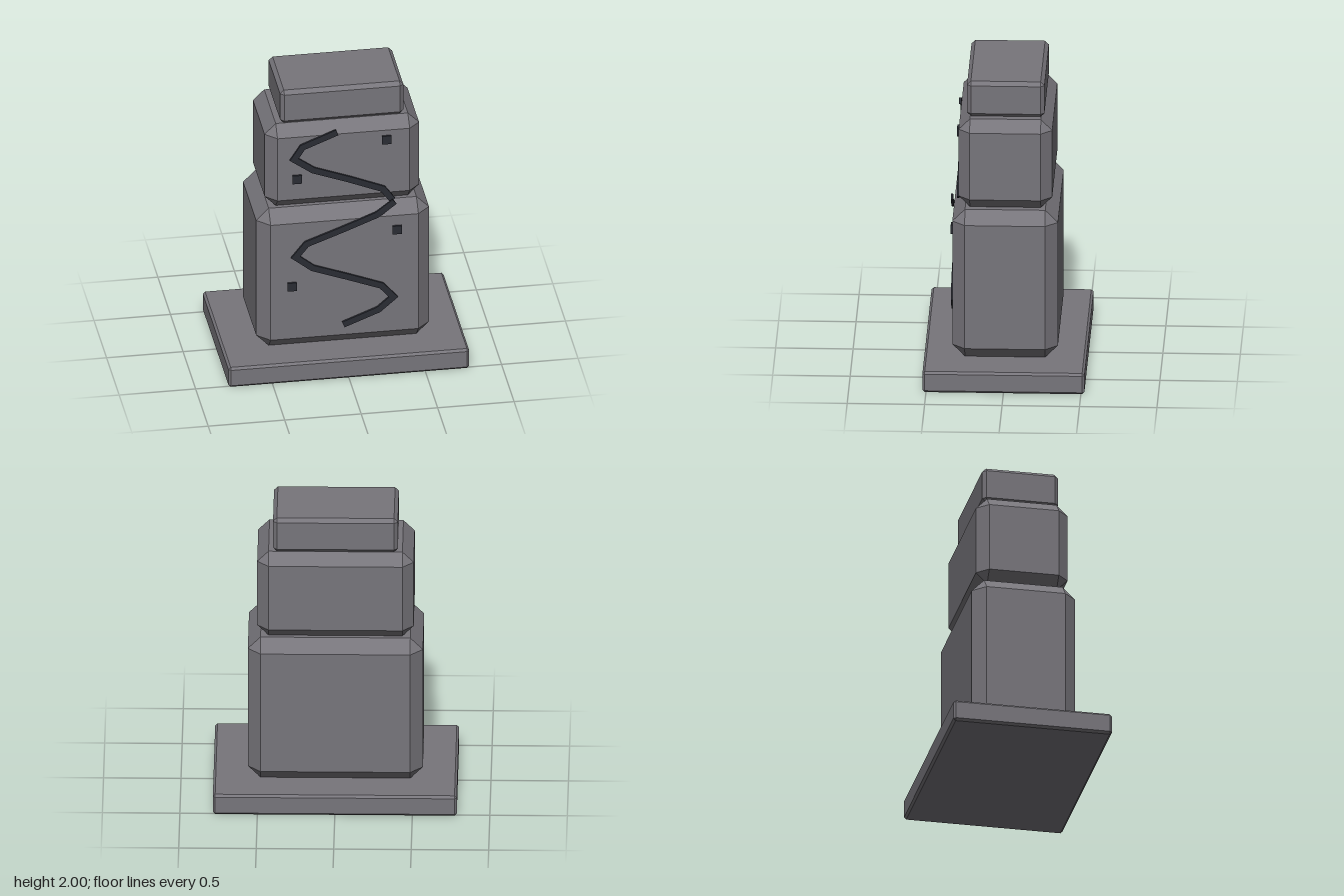
import * as THREE from 'three';
import { ConvexGeometry } from 'three/addons/geometries/ConvexGeometry.js';

const stone = new THREE.MeshStandardMaterial({ color: 0x77757b });
stone.name = 'grey stone';
const dark = new THREE.MeshStandardMaterial({ color: 0x2a2c34 });
dark.name = 'dark inlay';

// Box with flat chamfers on every edge and corner
function chamferedBlock(name, hx, y0, y1, hz, c) {
  const hy = (y1 - y0) / 2, points = [];
  for (const sx of [-1, 1]) for (const sy of [-1, 1]) for (const sz of [-1, 1]) {
    points.push(
      new THREE.Vector3(sx * hx, sy * (hy - c), sz * (hz - c)),
      new THREE.Vector3(sx * (hx - c), sy * hy, sz * (hz - c)),
      new THREE.Vector3(sx * (hx - c), sy * (hy - c), sz * hz));
  }
  const mesh = new THREE.Mesh(new ConvexGeometry(points), stone);
  mesh.name = name;
  mesh.position.y = (y0 + y1) / 2;
  return mesh;
}

// Flat ribbon of constant width with mitred bends
function ribbon(name, path, width, depth, z) {
  const pts = path.map(p => new THREE.Vector2(...p));
  const left = [], right = [];
  pts.forEach((p, i) => {
    const before = pts[Math.max(i - 1, 0)], after = pts[Math.min(i + 1, pts.length - 1)];
    const a = (i ? p.clone().sub(before) : after.clone().sub(p)).normalize();
    const b = (i < pts.length - 1 ? after.clone().sub(p) : a.clone()).normalize();
    const na = new THREE.Vector2(-a.y, a.x), nb = new THREE.Vector2(-b.y, b.x);
    const miter = na.clone().add(nb).normalize();
    miter.multiplyScalar(width / 2 / miter.dot(na));
    left.push(p.clone().add(miter));
    right.unshift(p.clone().sub(miter));
  });
  const geometry = new THREE.ExtrudeGeometry(new THREE.Shape([...left, ...right]), { depth, bevelEnabled: false });
  const mesh = new THREE.Mesh(geometry, dark);
  mesh.name = name;
  mesh.position.z = z;
  return mesh;
}

export function createModel() {
  const model = new THREE.Group();
  model.name = 'stoneMarker';

  // Stacked stones
  model.add(
    chamferedBlock('baseSlab', 0.787, 0, 0.143, 0.523, 0.015),
    chamferedBlock('lowerStone', 0.565, 0.143, 1.155, 0.341, 0.082),
    chamferedBlock('upperStone', 0.505, 1.155, 1.76, 0.302, 0.073),
    chamferedBlock('capStone', 0.403, 1.76, 2, 0.25, 0.025));

  // Winding band, one length on each stone
  const depth = 0.014, lowerZ = 0.342, upperZ = 0.303;
  model.add(
    ribbon('upperBand', [[-0.045, 1.705], [-0.27, 1.615], [-0.325, 1.53], [-0.2, 1.44],
      [0.04, 1.35], [0.255, 1.262], [0.318, 1.175]], 0.042, depth, upperZ),
    ribbon('lowerBand', [[0.325, 1.183], [0.21, 1.095], [-0.02, 1.005], [-0.25, 0.92], [-0.322, 0.83],
      [-0.21, 0.74], [0.02, 0.655], [0.24, 0.57], [0.318, 0.48], [0.22, 0.395], [-0.01, 0.305]], 0.042, depth, lowerZ));

  // Small square studs
  const studs = [[0.28, 1.62, upperZ], [-0.305, 1.38, upperZ], [0.342, 0.972, lowerZ], [-0.345, 0.612, lowerZ]];
  for (const [x, y, z] of studs) {
    const stud = new THREE.Mesh(new THREE.BoxGeometry(0.06, 0.06, depth), dark);
    stud.name = 'squareStud';
    stud.position.set(x, y, z + depth / 2);
    model.add(stud);
  }
  return model;
}
